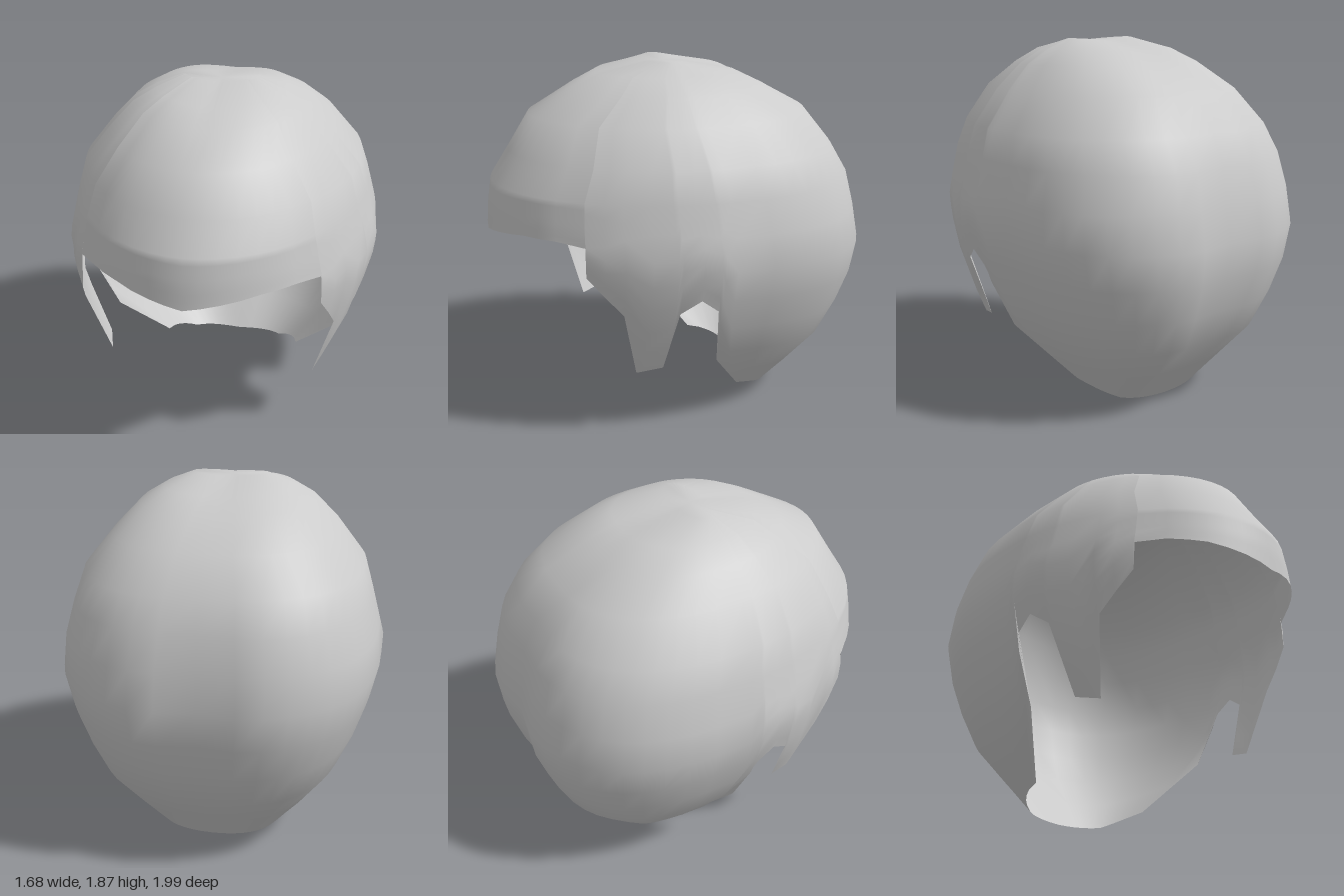
import * as THREE from 'three';

// Horizontal sections: y, half width, centre z, front z, back z
const SECTIONS = [
  [1.865, 0.20, 0.05, 0.13, -0.04],
  [1.81, 0.34, 0.04, 0.40, -0.33],
  [1.74, 0.46, 0.03, 0.53, -0.47],
  [1.61, 0.585, 0.01, 0.76, -0.70],
  [1.43, 0.73, -0.02, 0.87, -0.84],
  [1.28, 0.775, -0.05, 0.97, -0.93],
  [1.15, 0.81, -0.06, 0.99, -0.96],
  [1.02, 0.845, -0.07, 1.0, -0.99],
  [0.91, 0.835, -0.07, 1.0, -1.01],
  [0.66, 0.77, -0.07, 1.0, -0.98],
  [0.36, 0.63, -0.12, 1.2, -0.84],
  [0.10, 0.40, -0.26, 1.0, -0.60],
  [0.00, 0.30, -0.30, 0.9, -0.52],
];
const SHARED_ROWS = 6;   // full rings above the hairline
const LOWER_ROWS = 7;    // rows from the last full ring down to the hairline

// Hairline of one half as (z, y): fringe, temple, sideburn, ear notch, nape
const HAIRLINE = [
  [1.0, 1.02], [0.97, 1.05], [0.88, 1.08], [0.75, 1.085], [0.63, 1.07],
  [0.63, 0.92], [0.46, 0.72], [0.37, 0.345], [0.24, 0.375], [0.20, 0.73],
  [0.10, 0.80], [0.01, 0.73], [-0.04, 0.39], [-0.26, 0.10], [-0.46, 0.02], [-0.52, 0],
];

const FRONT_POWER = 1.9, BACK_POWER = 2.6;

function sectionAt(y) {
  let i = 0;
  while (i < SECTIONS.length - 2 && SECTIONS[i + 1][0] > y) i++;
  const a = SECTIONS[i], b = SECTIONS[i + 1];
  const t = THREE.MathUtils.clamp((a[0] - y) / (a[0] - b[0]), 0, 1);
  return a.map((v, k) => v + (b[k] - v) * t);
}

// Point on the superelliptic section; angle runs from +90 deg (front) to -90 deg (back)
function surfacePoint(y, angle) {
  const [, halfWidth, zc, zFront, zBack] = sectionAt(y);
  const power = 2 / (angle >= 0 ? FRONT_POWER : BACK_POWER);
  const x = halfWidth * Math.pow(Math.max(0, Math.cos(angle)), power);
  const reach = Math.pow(Math.abs(Math.sin(angle)), power);
  let z = zc + reach * (angle >= 0 ? zFront - zc : zBack - zc);
  // central furrow down the back
  if (angle < 0) {
    const depth = 0.05 * Math.sin(Math.PI * Math.min(1, y / 1.6));
    z += depth * Math.max(0, 1 - x / 0.24) * reach;
  }
  // slight parting dip across the crown
  const dip = y > 1.7 ? 0.012 * Math.max(0, 1 - x / 0.2) : 0;
  return [x, y - dip, z];
}

function hairlineAngle([z, y]) {
  const [, , zc, zFront, zBack] = sectionAt(y);
  const front = z >= zc;
  const u = Math.min(1, (z - zc) / ((front ? zFront : zBack) - zc));
  const angle = Math.asin(Math.pow(u, (front ? FRONT_POWER : BACK_POWER) / 2));
  return front ? angle : -angle;
}

// Columns of one half, with extra ones where hairline points lie far apart
function halfColumns() {
  const keys = HAIRLINE.map((p) => ({ angle: hairlineAngle(p), y: p[1] }));
  const columns = [];
  for (let i = 0; i < keys.length - 1; i++) {
    const a = keys[i], b = keys[i + 1];
    const n = Math.max(1, Math.ceil(Math.abs(a.angle - b.angle) / 0.16));
    for (let k = 0; k < n; k++) {
      columns.push({
        angle: THREE.MathUtils.lerp(a.angle, b.angle, k / n),
        y: THREE.MathUtils.lerp(a.y, b.y, k / n),
      });
    }
  }
  columns.push(keys[keys.length - 1]);
  return columns;
}

function hairGeometry() {
  const half = halfColumns();
  const ring = [
    ...half.map((c) => ({ ...c, side: 1 })),
    ...half.slice(1, -1).reverse().map((c) => ({ ...c, side: -1 })),
  ];
  const count = ring.length;
  const rows = SHARED_ROWS + LOWER_ROWS;
  const positions = [0, 1.853, 0.05]; // crown
  const lastRing = SECTIONS[SHARED_ROWS - 1][0];

  for (let r = 0; r < rows; r++) {
    for (const c of ring) {
      const y = r < SHARED_ROWS
        ? SECTIONS[r][0]
        : THREE.MathUtils.lerp(lastRing, c.y, (r - SHARED_ROWS + 1) / LOWER_ROWS);
      const [x, py, z] = surfacePoint(y, c.angle);
      positions.push(x * c.side, py, z);
    }
  }

  const indices = [];
  const at = (r, j) => 1 + r * count + (j % count);
  for (let j = 0; j < count; j++) {
    indices.push(0, at(0, j), at(0, j + 1));
    for (let r = 0; r < rows - 1; r++) {
      const a = at(r, j), b = at(r + 1, j), c = at(r + 1, j + 1), d = at(r, j + 1);
      indices.push(a, b, d, b, c, d);
    }
  }

  const geometry = new THREE.BufferGeometry();
  geometry.setAttribute('position', new THREE.Float32BufferAttribute(positions, 3));
  geometry.setIndex(indices);
  geometry.computeVertexNormals();
  return geometry;
}

export function createModel() {
  const group = new THREE.Group();
  group.name = 'shortHair';
  const material = new THREE.MeshStandardMaterial({ color: 0xcccccc, side: THREE.DoubleSide });
  const shell = new THREE.Mesh(hairGeometry(), material);
  shell.name = 'hairShell';
  group.add(shell);
  return group;
}
